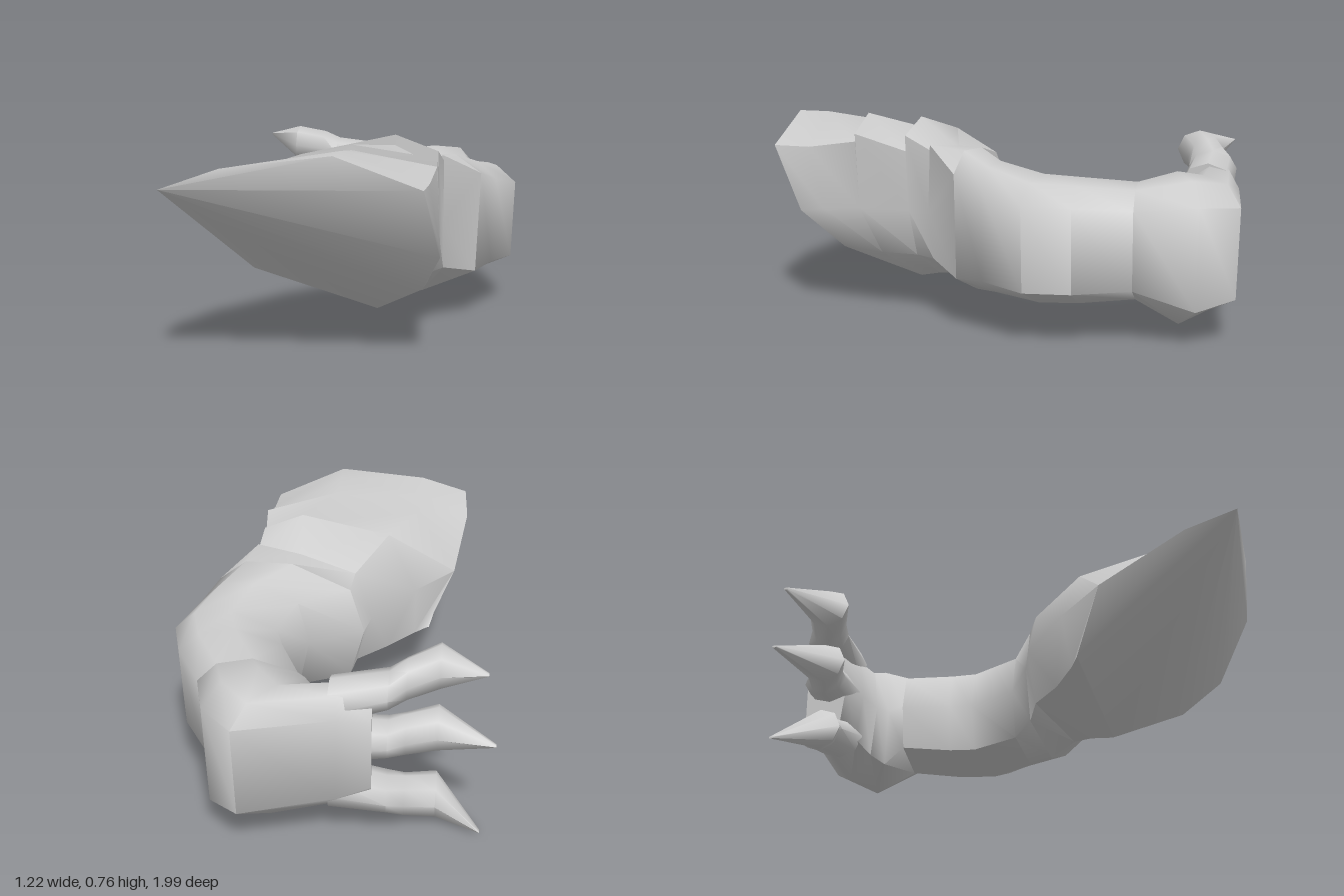
import * as THREE from 'three';
import { toCreasedNormals } from 'three/addons/utils/BufferGeometryUtils.js';

const material = new THREE.MeshStandardMaterial({ color: 0xcccccc, side: THREE.DoubleSide });

// Skin a list of rings (arrays of [x, y, z]) and close both ends
function loft(name, rings, crease) {
  const n = rings[0].length, index = [], last = (rings.length - 1) * n;
  for (let r = 0; r < rings.length - 1; r++) {
    for (let i = 0; i < n; i++) {
      const a = r * n + i, b = r * n + (i + 1) % n;
      index.push(a, b, b + n, a, b + n, a + n);
    }
  }
  for (let i = 1; i < n - 1; i++) index.push(0, i + 1, i, last, last + i, last + i + 1);
  const geometry = new THREE.BufferGeometry();
  geometry.setAttribute('position', new THREE.Float32BufferAttribute(rings.flat(2), 3));
  geometry.setIndex(index);
  const mesh = new THREE.Mesh(toCreasedNormals(geometry, crease), material);
  mesh.name = name;
  return mesh;
}

// Limb cross-section: u runs from inner to outer side, v from bottom to top
const PROFILE = [[0, 0.5], [0.1, 0.85], [0.5, 1], [0.82, 0.97], [1, 0.82], [0.97, 0.15], [0.6, 0], [0.1, 0.1]];
function section([xi, zi, xo, zo, bottom, top, tilt = 0]) {
  return PROFILE.map(([u, v]) => [
    xi + (xo - xi) * u,
    bottom + (top - bottom) * v - tilt * v * (1 - u),
    zi + (zo - zi) * u,
  ]);
}

// Lower the crest and the outer top corner of a ring to make the foot of a plate step
function sunk(ring, crest, outer) {
  const drop = { 2: crest, 3: outer };
  return ring.map(([x, y, z], i) => [x, y - (drop[i] ?? 0), z]);
}

function finger(name, path) {
  const rings = path.map(([x, y, z, ry, rz]) => Array.from({ length: 8 }, (_, i) => {
    const a = i * Math.PI / 4;
    return [x, y + ry * Math.sin(a), z + rz * Math.cos(a)];
  }));
  return loft(name, rings, 1.1);
}

export function createModel() {
  const group = new THREE.Group();
  group.name = 'clawedArm';

  // Shoulder: front cut slanting back to the underside, then stepped plates
  const front = [
    [-0.49, 0.65, 0.99], [-0.29, 0.72, 0.96], [0.08, 0.765, 0.92], [0.37, 0.65, 0.86],
    [0.41, 0.4, 0.72], [0.33, 0.25, 0.57], [0.13, 0.11, 0.33], [-0.35, 0.25, 0.34]];
  const bulge = [
    [-0.5, 0.6, 0.8], [-0.29, 0.69, 0.82], [0.08, 0.765, 0.78], [0.37, 0.65, 0.7],
    [0.4, 0.41, 0.62], [0.33, 0.245, 0.5], [0.13, 0.11, 0.325], [-0.34, 0.25, 0.335]];
  const middle = [
    [-0.45, 0.47, 0.46], [-0.28, 0.67, 0.63], [0.08, 0.765, 0.59], [0.37, 0.71, 0.49],
    [0.38, 0.42, 0.47], [0.33, 0.24, 0.4], [0.14, 0.115, 0.31], [-0.29, 0.24, 0.3]];
  const rear = [
    [-0.29, 0.46, 0.26], [-0.17, 0.69, 0.3], [0.19, 0.77, 0.29], [0.35, 0.71, 0.28],
    [0.35, 0.42, 0.27], [0.32, 0.24, 0.25], [0.18, 0.14, 0.22], [-0.18, 0.22, 0.2]];
  const neck = [
    [-0.12, 0.42, 0.06], [-0.05, 0.61, 0.07], [0.18, 0.66, 0.13], [0.36, 0.68, 0.17],
    [0.36, 0.42, 0.18], [0.36, 0.24, 0.16], [0.24, 0.16, 0.13], [-0.06, 0.22, 0.07]];
  const elbowStart = section([-0.09, 0.04, 0.49, 0.01, 0.11, 0.7, 0.08]);
  group.add(loft('platedShoulder', [
    front, bulge, sunk(middle, 0.02, 0.03), middle, sunk(rear, 0.04, 0.06), rear,
    sunk(neck, 0.01, 0.02), neck, elbowStart,
  ], 0.8));

  // Forearm bending round the elbow
  const wrist = section([0.06, -0.58, 0.45, -0.66, 0.14, 0.57]);
  group.add(loft('forearm', [
    elbowStart,
    section([0.12, -0.1, 0.54, -0.12, 0.135, 0.645, 0.03]),
    section([0.17, -0.31, 0.61, -0.3, 0.13, 0.6]),
    section([0.14, -0.4, 0.56, -0.47, 0.13, 0.59]),
    wrist,
  ], 1.1));

  // Hand turning inwards towards the fingers
  group.add(loft('hand', [
    wrist,
    section([0.03, -0.63, 0.39, -0.88, 0.05, 0.61]),
    section([0, -0.67, 0.27, -1, 0.09, 0.59]),
    section([-0.07, -0.7, -0.07, -0.925, 0.13, 0.6]),
    section([-0.18, -0.72, -0.19, -0.9, 0.18, 0.57]),
  ], 1.1));

  // Three clawed fingers: root, knuckle, joint, bend, tip
  const fingers = [
    ['lowerFinger', 0.2, 0.155, 0.09, 0.01, -0.57],
    ['middleFinger', 0.38, 0.38, 0.37, 0.37, -0.61],
    ['upperFinger', 0.53, 0.57, 0.615, 0.645, -0.57],
  ];
  for (const [name, root, knuckle, bend, tip, reach] of fingers) {
    group.add(finger(name, [
      [-0.04, root, -0.81, 0.08, 0.1],
      [-0.24, knuckle, -0.785, 0.065, 0.095],
      [-0.3, (knuckle + bend) / 2, -0.75, 0.075, 0.08],
      [-0.41, bend, -0.69, 0.08, 0.09],
      [reach, tip, -0.795, 0.005, 0.01],
    ]));
  }
  return group;
}
